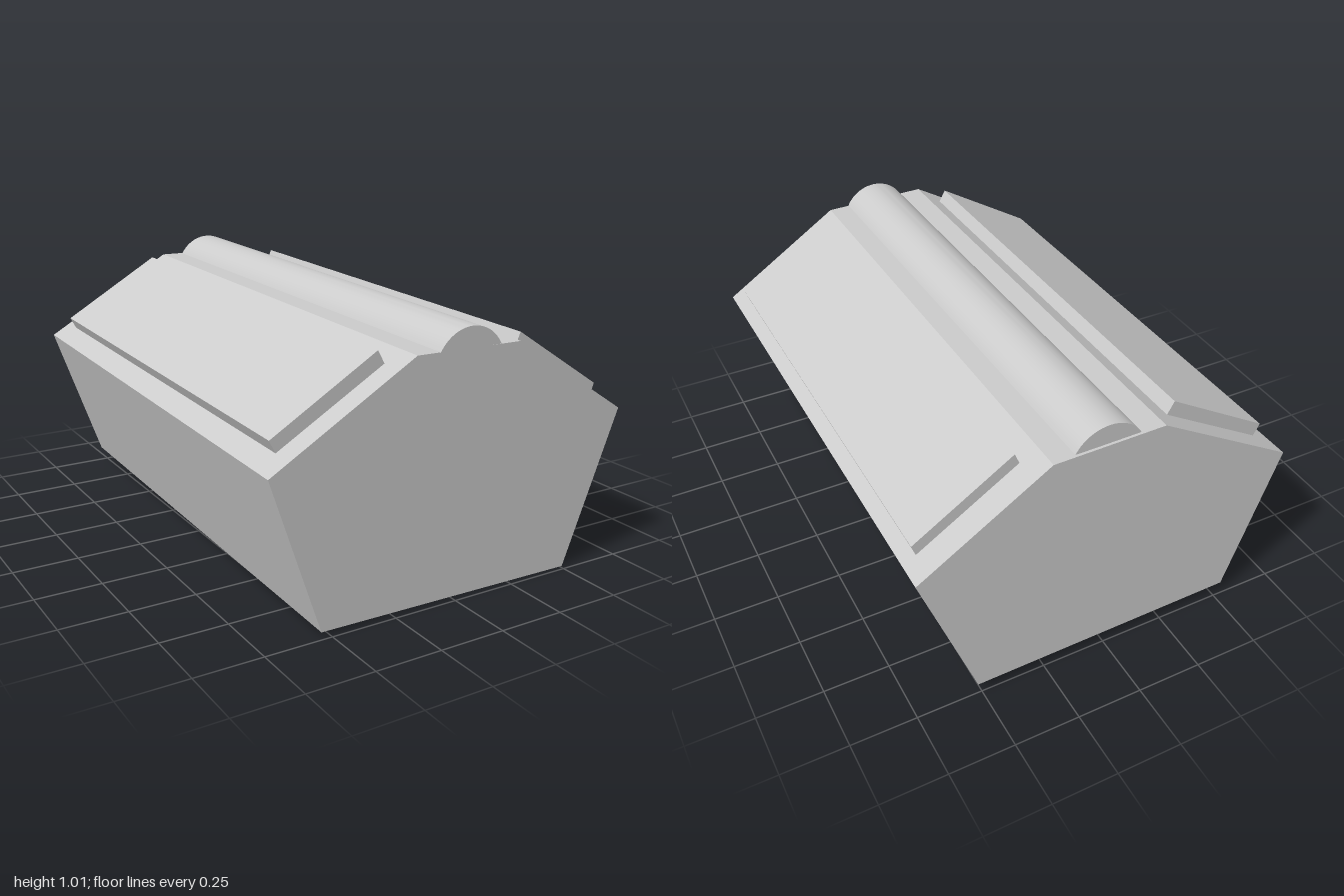
import * as THREE from 'three';
import { toCreasedNormals } from 'three/addons/utils/BufferGeometryUtils.js';

const TILT = 0.0217; // the whole prism leans slightly, back end raised
const FRONT = 0.98;

// Leans a straight extrusion: the height rises to the back, the ends follow
const lean = new THREE.Matrix4().set(
  1, 0, -0.002, 0.002,
  0, 1, -TILT, TILT * FRONT,
  0, TILT, 1, 0,
  0, 0, 0, 1
);

export function createModel() {
  const model = new THREE.Group();
  const material = new THREE.MeshStandardMaterial({ color: 0xcccccc });

  // Extrudes a front profile from zBack to zFront and leans it
  function prism(name, shape, zBack, zFront) {
    const geometry = new THREE.ExtrudeGeometry(shape, {
      depth: zFront - zBack, bevelEnabled: false, curveSegments: 10,
    });
    geometry.translate(0, 0, zBack).applyMatrix4(lean);
    const mesh = new THREE.Mesh(toCreasedNormals(geometry, 0.5), material);
    mesh.name = name;
    model.add(mesh);
  }

  const polygon = (points) => new THREE.Shape(points.map(([x, y]) => new THREE.Vector2(x, y)));

  // Six-sided body with sloping shoulders
  prism('body', polygon([
    [-0.53, 0.02], [0.51, 0.005], [0.724, 0.587],
    [0.235, 0.898], [-0.19, 0.903], [-0.728, 0.587],
  ]), -1.0, FRONT);

  // Raised panels on the two slopes
  prism('leftPanel', polygon([
    [0.674, 0.615], [0.69, 0.66], [0.318, 0.898], [0.3, 0.855],
  ]), -0.897, 0.883);
  prism('rightPanel', polygon([
    [-0.255, 0.863], [-0.282, 0.912], [-0.677, 0.676], [-0.653, 0.63],
  ]), -0.912, 0.893);

  // Rounded rib along the flat top
  const rib = new THREE.Shape();
  const half = 1.08;
  rib.absarc(0.025, 0.833, 0.142, Math.PI / 2 - half, Math.PI / 2 + half, false);
  rib.closePath();
  prism('ridgeRib', rib, -0.99, FRONT + 0.001);

  return model;
}
